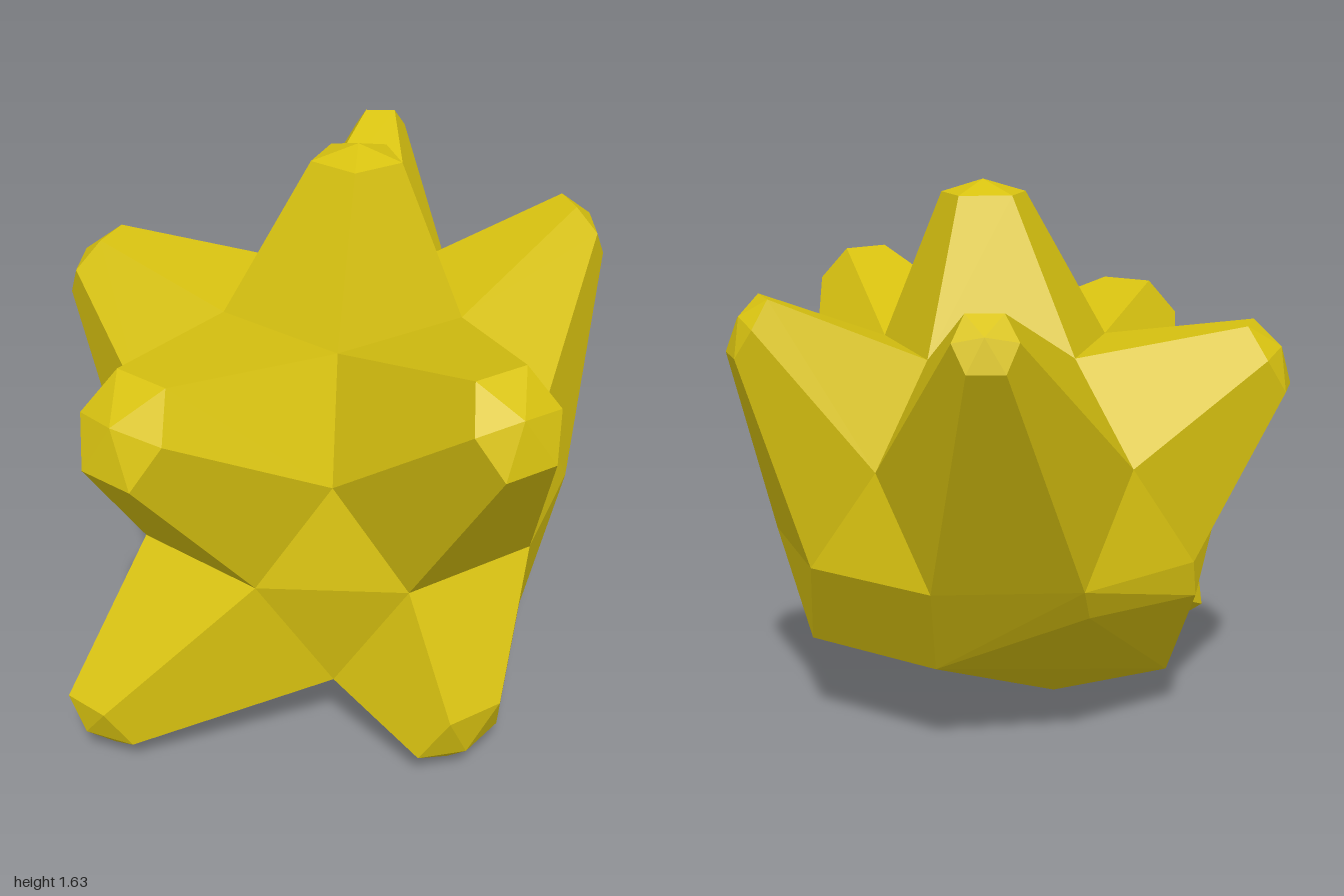
import * as THREE from 'three';
import { ConvexGeometry } from 'three/addons/geometries/ConvexGeometry.js';

const V = (x, y, z) => new THREE.Vector3(x, y, z);
const CENTER = V(0.034, 0.59, 0.04);
const R = 0.673;

// Point on the round core: angle in degrees from +x towards +z
function onCore(angle, radius, height) {
  const a = THREE.MathUtils.degToRad(angle);
  return V(Math.cos(a) * radius, height, Math.sin(a) * radius).multiplyScalar(R).add(CENTER);
}
const crown = (a) => onCore(a, 0.526, 0.851);
const shoulder = (a) => onCore(a, 0.894, 0.447);
const waist = (a) => onCore(a, 1, 0);
const hip = (a) => onCore(a, 0.851, -0.526);
const keel = (a) => onCore(a, 0.526, -0.851);

// Tapered spike: base corners are scaled and moved to the tip, then closed by a low cap
function spikeGeometry(corners, tip, scale, capHeight) {
  const mid = corners.reduce((s, p) => s.add(p), V(0, 0, 0)).divideScalar(corners.length);
  const axis = mid.clone().sub(CENTER).normalize();
  const u = corners[0].clone().sub(mid).projectOnPlane(axis).normalize();
  const w = axis.clone().cross(u);
  const turn = (p) => {
    const d = p.clone().sub(mid);
    return Math.atan2(d.dot(w), d.dot(u));
  };
  const base = [...corners].sort((p, q) => turn(p) - turn(q));
  const top = base.map((p) => p.clone().sub(mid).multiplyScalar(scale).add(tip));
  const apex = tip.clone().addScaledVector(tip.clone().sub(mid).normalize(), capHeight);
  const tris = [];
  base.forEach((p, i) => {
    const j = (i + 1) % base.length;
    tris.push(p, base[j], top[j], p, top[j], top[i], top[i], top[j], apex);
  });
  const g = new THREE.BufferGeometry().setFromPoints(tris);
  g.computeVertexNormals();
  return g;
}

export function createModel() {
  const model = new THREE.Group();
  model.name = 'spikedBody';
  const yellow = new THREE.MeshStandardMaterial({ color: 0xd8c210 });
  yellow.name = 'mustardYellow';
  const add = (name, geometry) => {
    const mesh = new THREE.Mesh(geometry, yellow);
    mesh.name = name;
    model.add(mesh);
  };

  // Faceted core, with flat cuts low on its back
  const fifths = [0, 72, 144, 216, 288];
  const sideHip = V(-0.44, 0.28, 0.377);
  const points = [hip(0), hip(72), sideHip, keel(36), keel(108)];
  for (const a of fifths) points.push(crown(a), shoulder(a), waist(a + 18), waist(a - 18));
  points.push(
    V(0.51, 0.3, -0.31), V(0.08, 0.3, -0.45), V(-0.36, 0.49, -0.43), V(-0.61, 0.48, -0.14),
    V(0.17, 0.18, -0.05), V(-0.49, 0.14, 0.11), V(-0.13, 0.025, 0.12)
  );
  add('core', new ConvexGeometry(points));

  // Five-sided spike on top
  add('topSpike', spikeGeometry(fifths.map(crown), V(0.075, 1.6, 0.05), 0.37, 0.04));

  // Five six-sided spikes around the upper half
  const upper = [
    ['frontLeftSpike', 36, V(0.73, 1.24, 0.71), 0.375, 0.05],
    ['frontSpike', 108, V(-0.23, 1.13, 0.905), 0.41, 0.05],
    ['rightSpike', 180, V(-0.778, 1.163, 0.035), 0.32, 0.04],
    ['backSpike', 252, V(-0.21, 1.345, -0.945), 0.23, 0.03],
    ['backLeftSpike', 324, V(0.6, 1.275, -0.5), 0.275, 0.035],
  ];
  for (const [name, a, tip, scale, cap] of upper) {
    const corners = [crown(a - 36), crown(a + 36), shoulder(a - 36), shoulder(a + 36), waist(a - 18), waist(a + 18)];
    add(name, spikeGeometry(corners, tip, scale, cap));
  }

  // Two five-sided spikes at the lower front
  add('lowerLeftSpike', spikeGeometry(
    [waist(18), waist(54), hip(72), keel(36), hip(0)], V(0.59, 0.135, 0.56), 0.41, 0.05));
  add('lowerRightSpike', spikeGeometry(
    [waist(90), waist(126), sideHip, keel(108), hip(72)], V(-0.394, 0.125, 0.87), 0.34, 0.045));

  return model;
}
